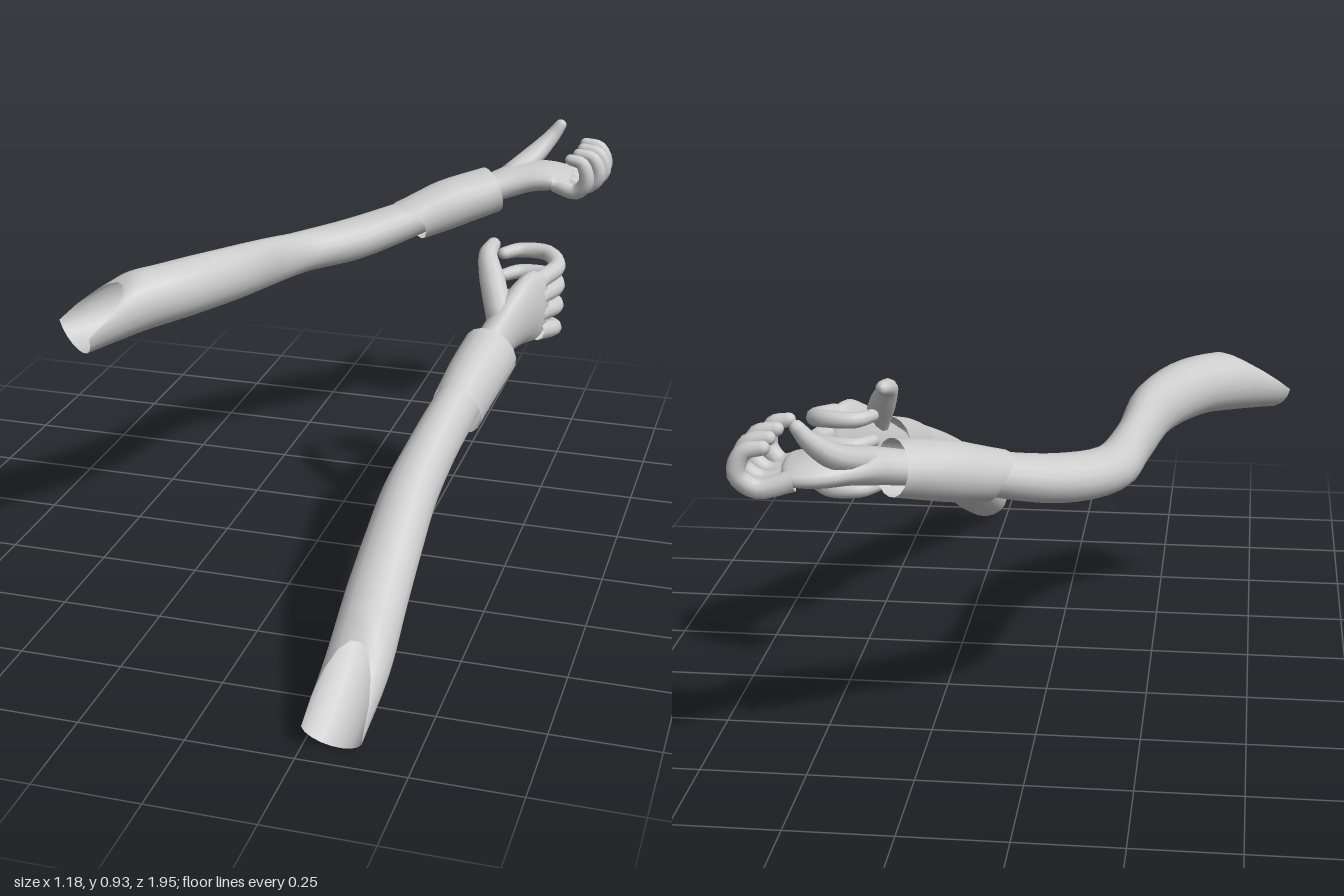
import * as THREE from 'three';

const X = new THREE.Vector3(1, 0, 0);
const Y = new THREE.Vector3(0, 1, 0);
const Z = new THREE.Vector3(0, 0, 1);

// Elliptical loft along a smooth path. Each point: [x, y, z, halfWidth, halfHeight].
// slant pulls the upper part of the first rim along the path; cap rounds off the end.
function loft(points, up, { steps = 24, sides = 18, slant = 0, cap = false } = {}) {
  const path = new THREE.CatmullRomCurve3(points.map(p => new THREE.Vector3(p[0], p[1], p[2])));
  const size = new THREE.CatmullRomCurve3(points.map(p => new THREE.Vector3(p[3], p[4], 0)));
  const rings = [];
  for (let i = 0; i <= steps; i++) {
    const t = i / steps;
    const r = size.getPoint(t);
    rings.push({ c: path.getPoint(t), t: path.getTangent(t), w: r.x, h: r.y, pull: slant * Math.max(0, 1 - t * 4) });
  }
  if (cap) {
    const e = rings[steps];
    for (let k = 1; k <= 4; k++) {
      const a = (k / 4) * Math.PI / 2;
      const s = Math.max(Math.cos(a), 0.001);
      const c = e.c.clone().addScaledVector(e.t, Math.sin(a) * Math.min(e.w, e.h));
      rings.push({ c, t: e.t, w: e.w * s, h: e.h * s, pull: 0 });
    }
  }
  const pos = [], index = [];
  for (const { c, t, w, h, pull } of rings) {
    const side = new THREE.Vector3().crossVectors(up, t).normalize();
    const top = new THREE.Vector3().crossVectors(t, side);
    for (let j = 0; j < sides; j++) {
      const a = (j / sides) * Math.PI * 2;
      const v = c.clone()
        .addScaledVector(side, Math.cos(a) * w)
        .addScaledVector(top, Math.sin(a) * h)
        .addScaledVector(t, pull * Math.max(0, Math.sin(a)));
      pos.push(v.x, v.y, v.z);
    }
  }
  for (let i = 0; i < rings.length - 1; i++) {
    for (let j = 0; j < sides; j++) {
      const k = (j + 1) % sides;
      const a = i * sides + j, b = i * sides + k, c = a + sides, d = b + sides;
      index.push(a, b, c, b, d, c);
    }
  }
  const g = new THREE.BufferGeometry();
  g.setAttribute('position', new THREE.Float32BufferAttribute(pos, 3));
  g.setIndex(index);
  g.computeVertexNormals();
  return g;
}

export function createModel() {
  const model = new THREE.Group();
  const grey = new THREE.MeshStandardMaterial({ color: 0xcccccc, side: THREE.DoubleSide });
  grey.name = 'light grey';

  const add = (group, name, geometry) => {
    const mesh = new THREE.Mesh(geometry, grey);
    mesh.name = name;
    group.add(mesh);
  };

  // One arm: open sleeve, cuff, palm, thumb and four curled fingers
  function arm(name, d) {
    const g = new THREE.Group();
    g.name = name;
    add(g, 'sleeve', loft(d.sleeve, Y, { steps: 32, slant: d.slant }));
    add(g, 'cuff', loft(d.cuff, Y, { steps: 8, slant: d.cuffSlant }));
    add(g, 'palm', loft(d.palm, d.palmUp, { steps: 16, cap: true }));
    add(g, 'thumb', loft(d.thumb, d.palmUp, { steps: 12, sides: 10, cap: true }));
    d.fingers.forEach((f, i) =>
      add(g, 'finger' + (i + 1), loft(f, d.spread, { steps: 16, sides: 10, cap: true })));
    model.add(g);
  }

  // Bent arm reaching back, palm up
  arm('bentArm', {
    slant: 0.15,
    sleeve: [
      [-0.525, 0.655, 0.31, 0.082, 0.062], [-0.43, 0.69, 0.2, 0.077, 0.074],
      [-0.335, 0.705, 0.09, 0.073, 0.074], [-0.25, 0.7, -0.08, 0.06, 0.07],
      [-0.21, 0.675, -0.27, 0.047, 0.064], [-0.165, 0.66, -0.42, 0.06, 0.055],
      [-0.055, 0.672, -0.53, 0.068, 0.056], [0.085, 0.715, -0.635, 0.06, 0.05],
      [0.14, 0.735, -0.675, 0.055, 0.045],
    ],
    cuffSlant: -0.04,
    cuff: [
      [0.09, 0.712, -0.635, 0.066, 0.06], [0.17, 0.742, -0.7, 0.074, 0.068],
      [0.275, 0.772, -0.775, 0.077, 0.063],
    ],
    palmUp: Y,
    palm: [
      [0.2, 0.752, -0.725, 0.045, 0.036], [0.29, 0.78, -0.79, 0.05, 0.04],
      [0.36, 0.798, -0.84, 0.08, 0.038], [0.42, 0.8, -0.865, 0.098, 0.034],
      [0.465, 0.797, -0.87, 0.092, 0.026],
    ],
    thumb: [
      [0.32, 0.805, -0.83, 0.035, 0.03], [0.37, 0.845, -0.92, 0.032, 0.028],
      [0.41, 0.89, -0.958, 0.023, 0.021], [0.43, 0.92, -0.968, 0.018, 0.016],
    ],
    spread: Z,
    fingers: [
      [-0.94, -0.965, 1], [-0.895, -0.902, 1.05], [-0.85, -0.842, 1], [-0.8, -0.778, 0.8],
    ].map(([z0, z1, s]) => [
      [0.45, 0.795, z0, 0.024, 0.024],
      [0.45 + 0.075 * s, 0.78, (z0 + z1) / 2, 0.022, 0.022],
      [0.45 + 0.112 * s, 0.815, z1, 0.021, 0.021],
      [0.45 + 0.095 * s, 0.863, z1, 0.019, 0.019],
      [0.45 + 0.055 * s, 0.873, z1, 0.016, 0.016],
    ]),
  });

  // Straight arm rising toward the back, palm turned inward
  arm('straightArm', {
    slant: 0.2,
    sleeve: [
      [0.32, 0.06, 0.96, 0.07, 0.06], [0.335, 0.15, 0.8, 0.074, 0.066],
      [0.335, 0.232, 0.65, 0.072, 0.065], [0.34, 0.31, 0.52, 0.068, 0.065],
      [0.347, 0.375, 0.41, 0.064, 0.065], [0.367, 0.438, 0.28, 0.058, 0.065],
      [0.39, 0.49, 0.165, 0.055, 0.065], [0.405, 0.52, 0.09, 0.052, 0.06],
    ],
    cuffSlant: 0,
    cuff: [
      [0.395, 0.488, 0.143, 0.062, 0.08], [0.412, 0.53, 0.05, 0.067, 0.08],
      [0.432, 0.568, -0.05, 0.07, 0.078],
    ],
    palmUp: X,
    palm: [
      [0.415, 0.54, 0.02, 0.05, 0.04], [0.435, 0.585, -0.07, 0.058, 0.042],
      [0.465, 0.62, -0.14, 0.08, 0.044], [0.492, 0.638, -0.2, 0.096, 0.04],
      [0.512, 0.64, -0.24, 0.09, 0.03],
    ],
    thumb: [
      [0.445, 0.64, -0.1, 0.035, 0.035], [0.41, 0.72, -0.16, 0.033, 0.033],
      [0.388, 0.77, -0.205, 0.024, 0.024], [0.392, 0.784, -0.25, 0.018, 0.018],
    ],
    spread: Y,
    fingers: [
      [0.708, 0.738, 1], [0.664, 0.677, 1.05], [0.62, 0.617, 1], [0.572, 0.555, 0.82],
    ].map(([y0, y1, s]) => [
      [0.515, y0, -0.225, 0.025, 0.025],
      [0.548, (y0 + y1) / 2, -0.225 - 0.075 * s, 0.022, 0.022],
      [0.515, y1, -0.225 - 0.132 * s, 0.021, 0.021],
      [0.44, y1, -0.225 - 0.138 * s, 0.019, 0.019],
      [0.405, y1, -0.225 - 0.1 * s, 0.016, 0.016],
    ]),
  });

  return model;
}
